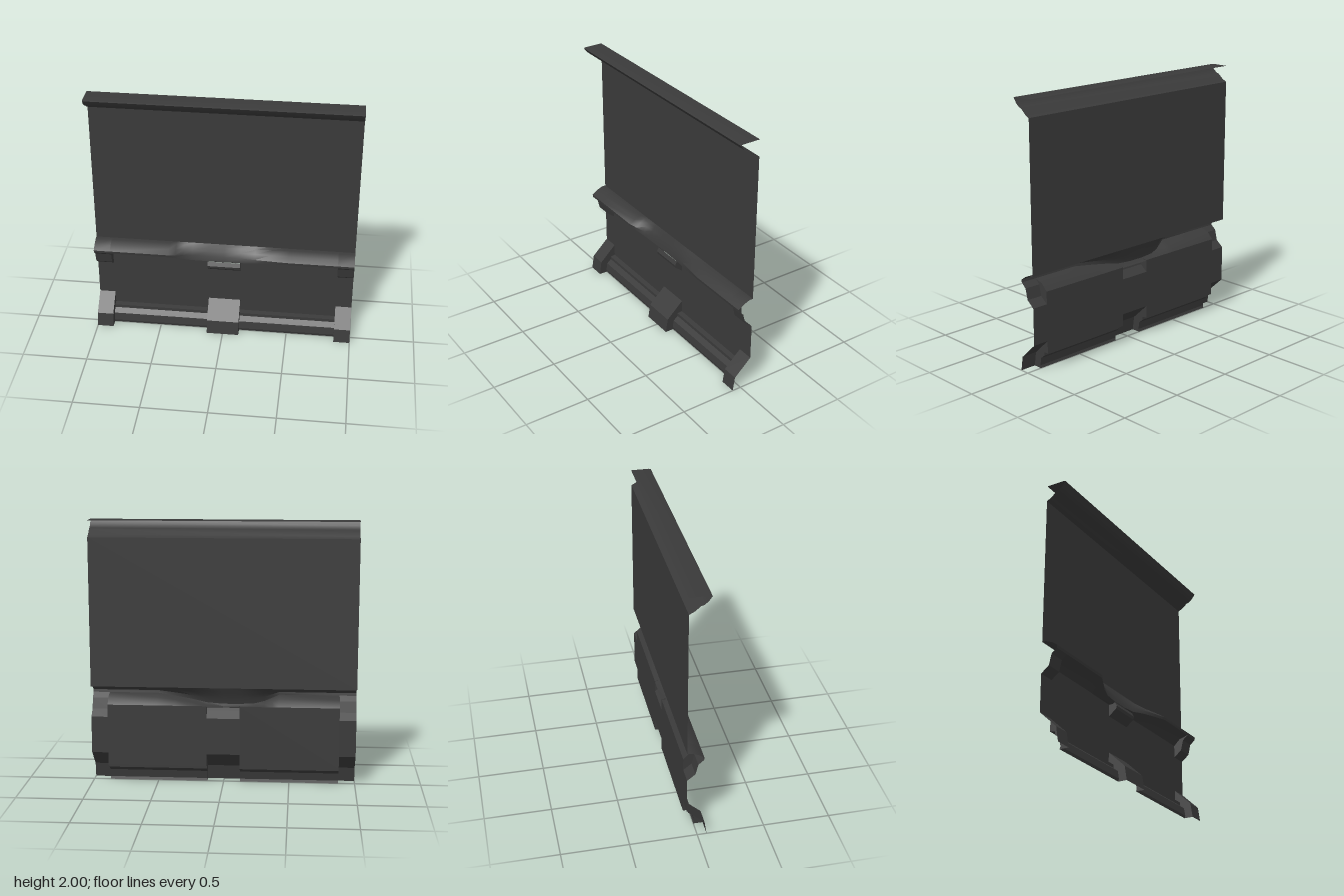
import * as THREE from 'three';
import { toCreasedNormals } from 'three/addons/utils/BufferGeometryUtils.js';

const paint = new THREE.MeshStandardMaterial({ color: 0x3a3a3a, side: THREE.DoubleSide });
paint.name = 'charcoal paint';

// Profiles are [z, y] points, listed from the bottom up
const BACK = -0.08;
const baseProfile = [[0, 0], [0.006, 0.02], [-0.004, 0.08], [-0.04, 0.11], [-0.04, 0.135], [BACK, 0.14]];
const baseBlock = [[0.07, 0], [0.053, 0.11], [BACK, 0.235]];
const railUnder = [[BACK, 0.61], [-0.03, 0.66], [0.04, 0.68]];
const railTop = [[0.043, 0.7], [0, 0.73], [-0.05, 0.75], [BACK, 0.75]];
const railProfile = [...railUnder, ...railTop];
const railBlock = [[BACK, 0.515], [-0.02, 0.563], [0, 0.645], [0.04, 0.68]];
const wornProfile = [[BACK, 0.605], [-0.05, 0.605], [-0.03, 0.62], [-0.04, 0.66], [-0.055, 0.695], [-0.068, 0.725], [BACK, 0.75]];
const brokenBlock = [[BACK, 0.515], [-0.02, 0.563], [-0.014, 0.585], [-0.03, 0.615]];
const crownProfile = [[BACK, 1.875], [-0.045, 1.892], [0, 1.93], [0.02, 1.935], [0.05, 1.96], [0.075, 1.995], [0.06, 2], [BACK, 2]];

// Skin a row of cross-sections placed along x
function loft(sections, crease = 0.45) {
  const pos = [], idx = [], n = sections[0].points.length;
  sections.forEach(({ x, points }) => points.forEach(([z, y]) => pos.push(x, y, z)));
  for (let s = 0; s < sections.length - 1; s++) {
    for (let i = 0; i < n - 1; i++) {
      const a = s * n + i, b = a + n;
      idx.push(a, b, b + 1, a, b + 1, a + 1);
    }
  }
  const geo = new THREE.BufferGeometry();
  geo.setAttribute('position', new THREE.Float32BufferAttribute(pos, 3));
  geo.setIndex(idx);
  return toCreasedNormals(geo.toNonIndexed(), crease);
}

const strip = (points, x0, x1, crease) => loft([{ x: x0, points }, { x: x1, points }], crease);

// Flat side cheek between a block and the moulding beside it
function cheek(points, x, facing) {
  const shape = new THREE.Shape(points.map(([z, y]) => new THREE.Vector2(-facing * z, y)));
  const geo = new THREE.ShapeGeometry(shape);
  geo.rotateY(facing * Math.PI / 2);
  geo.translate(x, 0, 0);
  return geo;
}

export function createModel() {
  const model = new THREE.Group();
  model.name = 'wallPanel';
  const add = (name, geo) => {
    const mesh = new THREE.Mesh(geo, paint);
    mesh.name = name;
    model.add(mesh);
  };

  // Wall above the rail, and crown moulding
  add('upperWall', strip([[BACK, 0.75], [BACK, 1.875]], -1, 1));
  add('crownMoulding', strip(crownProfile, -1, 1, 0.75));

  // Plain bays between the blocks
  for (const [x0, x1] of [[-0.875, -0.125], [0.125, 0.875]]) {
    add('lowerWall', strip([[BACK, 0.14], [BACK, 0.61]], x0, x1));
    add('baseboard', strip(baseProfile, x0, x1));
  }

  // Block bays: the wall is open behind each block
  for (const [x0, x1] of [[-1, -0.875], [-0.125, 0.125], [0.875, 1]]) {
    const middle = x0 < 0 && x1 > 0;
    const bracket = middle ? brokenBlock : railBlock;
    add('blockWall', strip([[BACK, 0.235], [BACK, 0.515]], x0, x1));
    add('baseBlock', strip(baseBlock, x0, x1));
    add('railBracket', strip(bracket, x0, x1));
    if (!middle) add('railEnd', strip([[0.04, 0.68], ...railTop], x0, x1));
    for (const [x, facing] of [[x0, -1], [x1, 1]]) {
      if (Math.abs(x) === 1) continue;
      add('baseBlockSide', cheek([...baseBlock, ...[...baseProfile].reverse()], x, facing));
      const inner = middle ? [[BACK, 0.61]] : [[-0.03, 0.66], [BACK, 0.61]];
      add('railBracketSide', cheek([...bracket, ...inner], x, facing));
    }
  }

  // Chair rail, worn away around the middle: [x, amount of wear]
  const wear = [[-0.875, 0], [-0.42, 0], [-0.37, 0.3], [-0.31, 0.65], [-0.24, 0.9], [-0.125, 1],
    [0, 1], [0.125, 0.88], [0.24, 0.55], [0.36, 0.28], [0.5, 0], [0.875, 0]];
  add('chairRail', loft(wear.map(([x, k]) => ({
    x,
    points: railProfile.map(([z, y], i) => [
      THREE.MathUtils.lerp(z, wornProfile[i][0], k),
      THREE.MathUtils.lerp(y, wornProfile[i][1], k),
    ]),
  })), 0.6));

  return model;
}
